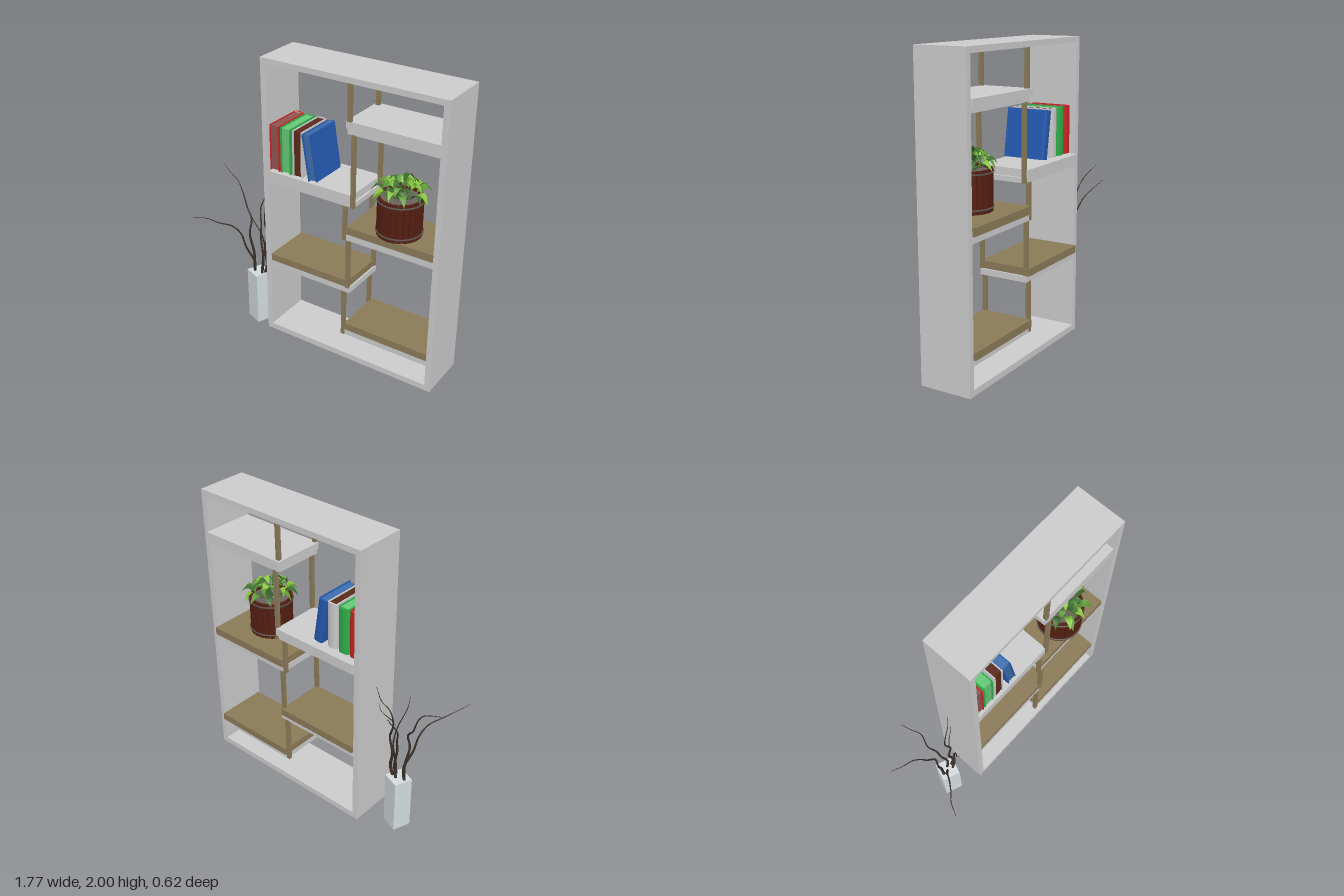
import * as THREE from 'three';

const mat = (color, extra = {}) => new THREE.MeshStandardMaterial({ color, ...extra });
const GREY = mat(0xcccccc), WOOD = mat(0x8a7a58), BARK = mat(0x3a3028), STAVE = mat(0x541f12);
const LEAF = [0x86c440, 0x5f9a35, 0x3f7030].map(c => mat(c, { side: THREE.DoubleSide }));

function add(parent, name, geometry, material, x = 0, y = 0, z = 0) {
  const mesh = new THREE.Mesh(geometry, material);
  mesh.name = name;
  mesh.position.set(x, y, z);
  parent.add(mesh);
  return mesh;
}

// Box given by its minimum and maximum on each axis
function slab(parent, name, material, x0, x1, y0, y1, z0, z1) {
  return add(parent, name, new THREE.BoxGeometry(x1 - x0, y1 - y0, z1 - z0), material,
    (x0 + x1) / 2, (y0 + y1) / 2, (z0 + z1) / 2);
}

function group(parent, name) {
  const g = new THREE.Group();
  g.name = name;
  parent.add(g);
  return g;
}

let seed = 7;
const rand = () => (seed = (seed * 16807) % 2147483647) / 2147483647;

function buildFrame(root) {
  const shape = new THREE.Shape([[-0.37, 0.055], [0.885, 0.055], [0.885, 2], [-0.37, 2]].map(p => new THREE.Vector2(...p)));
  shape.holes.push(new THREE.Path([[-0.333, 0.095], [-0.333, 1.964], [0.847, 1.964], [0.847, 0.095]].map(p => new THREE.Vector2(...p))));
  add(root, 'frame', new THREE.ExtrudeGeometry(shape, { depth: 0.34, bevelEnabled: false }), GREY, 0, 0, -0.25);
}

function buildShelves(root) {
  const shelves = group(root, 'shelves');
  // x range of top board, x range of base board, base bottom, seam, top, top material
  [
    [0.233, 0.847, 0.245, 0.847, 1.652, 1.685, 1.73, GREY],
    [-0.333, 0.28, -0.333, 0.295, 1.178, 1.21, 1.258, GREY],
    [0.245, 0.847, 0.24, 0.847, 0.943, 0.985, 1.035, WOOD],
    [-0.333, 0.265, -0.333, 0.277, 0.563, 0.602, 0.65, WOOD],
    [0.24, 0.847, 0.24, 0.847, 0.235, 0.272, 0.32, WOOD],
  ].forEach(([a0, a1, b0, b1, y0, y1, y2, m]) => {
    slab(shelves, 'shelfBoard', m, a0, a1, y1, y2, -0.265, 0.08);
    slab(shelves, 'shelfBase', GREY, b0, b1, y0, y1, -0.25, 0.08);
  });

  // Front and back posts between neighbouring shelves
  const posts = group(root, 'posts');
  [[0.257, 1.73, 1.964], [0.287, 1.178, 1.655], [0.233, 0.943, 1.178],
    [0.26, 0.6, 0.943], [0.233, 0.237, 0.565]].forEach(([x, y0, y1]) => {
    for (const z of [0.075, -0.24]) slab(posts, 'post', WOOD, x - 0.012, x + 0.012, y0, y1, z - 0.012, z + 0.012);
  });
}

function buildBooks(root) {
  const books = group(root, 'books');
  const h = 0.305, z0 = -0.2, z1 = 0.065;
  // base x, thickness, tilt, cover, pages
  [[-0.298, 0.066, 0, 0xcc2424, 0x8f5552], [-0.214, 0.068, 0, 0x2fae48, 0x66c878],
    [-0.127, 0.062, 0, 0xcccccc, 0x5a2a1a], [-0.012, 0.058, 0.16, 0x2459b0, 0x3c6cac]].forEach(([x, t, tilt, cover, page]) => {
    const book = group(books, 'book');
    const c = mat(cover), p = mat(page);
    for (const s of [-1, 1]) slab(book, 'cover', c, s * t / 2 - 0.004, s * t / 2 + 0.004, 0, h, z0, z1);
    // Rounded spine at the back
    const spine = add(book, 'spine', new THREE.CylinderGeometry(t / 2 + 0.004, t / 2 + 0.004, h, 12, 1, false, Math.PI / 2, Math.PI), c, 0, h / 2, z0);
    spine.scale.z = 0.4;
    slab(book, 'pageBlock', p, -t / 2 + 0.004, t / 2 - 0.004, 0.006, h - 0.006, z0, z1 - 0.012);
    // Loose signatures showing at the open edge
    for (let i = 0; i < 5; i++) {
      const px = (i - 2) * (t - 0.012) / 5;
      slab(book, 'pages', p, px - 0.003, px + 0.003, 0.006, h - 0.006, z1 - 0.014, z1 - 0.004);
    }
    book.position.set(x, 1.264, 0);
    book.rotation.z = tilt;
  });
}

// Leaf blade: a plane pinched to a point at both ends and drooping along its length
function leafGeometry(length, width) {
  const g = new THREE.PlaneGeometry(1, 1, 2, 6);
  const p = g.attributes.position;
  for (let i = 0; i < p.count; i++) {
    const t = p.getY(i) + 0.5, side = p.getX(i) * 2;
    const w = Math.sin(Math.PI * Math.pow(t, 0.8)) * width / 2;
    p.setXYZ(i, side * w, 0.05 * Math.sin(t * 2.6) - 0.035 * t * t + Math.abs(side) * w * 0.3, t * length);
  }
  g.computeVertexNormals();
  return g;
}

function buildPlant(root) {
  const plant = group(root, 'pottedPlant');
  plant.position.set(0.552, 1.035, -0.03);
  const N = 24, R = 0.13;
  // Ring of wooden staves held by two hoops
  add(plant, 'potCore', new THREE.CylinderGeometry(R - 0.004, R - 0.004, 0.21, N), STAVE, 0, 0.12, 0);
  for (let i = 0; i < N; i++) {
    const a = i / N * Math.PI * 2;
    const stave = add(plant, 'stave', new THREE.BoxGeometry(0.029, 0.25, 0.018), STAVE, Math.sin(a) * R, 0.135, Math.cos(a) * R);
    stave.rotation.y = a;
  }
  for (const y of [0.035, 0.24]) {
    const hoop = add(plant, 'hoop', new THREE.TorusGeometry(R + 0.011, 0.006, 6, 36), mat(0x5c5048), 0, y, 0);
    hoop.rotation.x = Math.PI / 2;
  }
  add(plant, 'soil', new THREE.CylinderGeometry(R - 0.006, R - 0.006, 0.02, N), mat(0x6a645c), 0, 0.235, 0);

  // Leaves in three rings on short stems
  [[14, 0.09, 0.09, 0.265], [11, 0.055, 0.075, 0.29], [8, 0.02, 0.07, 0.315]].forEach(([n, r, len, y], ring) => {
    for (let i = 0; i < n; i++) {
      const a = (i + rand() * 0.7) / n * Math.PI * 2;
      const x = Math.sin(a) * r, z = Math.cos(a) * r, top = y + rand() * 0.025;
      const stem = new THREE.QuadraticBezierCurve3(new THREE.Vector3(x * 0.4, 0.24, z * 0.4),
        new THREE.Vector3(x * 0.6, top, z * 0.6), new THREE.Vector3(x, top, z));
      add(plant, 'stem', new THREE.TubeGeometry(stem, 6, 0.0025, 5), LEAF[2]);
      const leaf = add(plant, 'leaf', leafGeometry(len * (0.8 + rand() * 0.4), 0.05), LEAF[(i + ring) % 3], x, top, z);
      leaf.rotation.set(-0.25 + rand() * 0.5, a + rand() * 0.6 - 0.3, rand() * 0.6 - 0.3, 'YXZ');
    }
  });
}

// Tube along points that thins from base to tip
function branch(parent, points, r) {
  const curve = new THREE.CatmullRomCurve3(points.map(p => new THREE.Vector3(...p)));
  const n = 36, sides = 6;
  const g = new THREE.TubeGeometry(curve, n, r, sides);
  const p = g.attributes.position, v = new THREE.Vector3();
  for (let i = 0; i < p.count; i++) {
    const t = Math.floor(i / (sides + 1)) / n;
    const c = curve.getPointAt(t);
    v.fromBufferAttribute(p, i).sub(c).multiplyScalar(1 - 0.88 * t).add(c);
    p.setXYZ(i, v.x, v.y, v.z);
  }
  add(parent, 'branch', g, BARK);
}

function buildVase(root) {
  const vase = group(root, 'vaseWithBranches');
  const body = add(vase, 'vase', new THREE.CylinderGeometry(0.0865, 0.0865, 0.38, 4, 1).toNonIndexed(),
    mat(0xd3dbde, { flatShading: true }), -0.54, 0.19, -0.045);
  body.rotation.y = 0.42;

  const limbs = group(vase, 'branches');
  branch(limbs, [[-0.58, 0.36, -0.04], [-0.585, 0.5, -0.05], [-0.61, 0.66, -0.04], [-0.605, 0.76, -0.06], [-0.655, 0.83, -0.08],
    [-0.69, 0.93, -0.085], [-0.74, 1.0, -0.1], [-0.81, 1.04, -0.11], [-0.885, 1.08, -0.13]], 0.011);
  branch(limbs, [[-0.57, 0.36, -0.03], [-0.56, 0.46, -0.02], [-0.595, 0.58, 0.02], [-0.615, 0.7, 0.05], [-0.645, 0.77, 0.1],
    [-0.7, 0.81, 0.17], [-0.75, 0.85, 0.22], [-0.8, 0.885, 0.31]], 0.01);
  branch(limbs, [[-0.53, 0.36, -0.06], [-0.515, 0.48, -0.06], [-0.545, 0.62, -0.08], [-0.555, 0.72, -0.1], [-0.585, 0.82, -0.14],
    [-0.57, 0.92, -0.2], [-0.6, 0.98, -0.25], [-0.63, 1.04, -0.31]], 0.01);
  branch(limbs, [[-0.5, 0.36, -0.05], [-0.475, 0.45, -0.05], [-0.495, 0.56, -0.06], [-0.47, 0.68, -0.06], [-0.5, 0.8, -0.07],
    [-0.475, 0.9, -0.08], [-0.43, 0.95, -0.1], [-0.4, 1.06, -0.12]], 0.011);
  branch(limbs, [[-0.51, 0.36, -0.03], [-0.49, 0.48, -0.02], [-0.475, 0.6, -0.03], [-0.48, 0.72, 0], [-0.5, 0.8, 0.03],
    [-0.515, 0.86, 0.05], [-0.51, 0.93, 0.08]], 0.009);
  branch(limbs, [[-0.475, 0.7, -0.06], [-0.485, 0.79, -0.05], [-0.46, 0.83, -0.07], [-0.42, 0.87, -0.09], [-0.405, 0.93, -0.1]], 0.006);
}

export function createModel() {
  const root = new THREE.Group();
  root.name = 'bookcaseSet';
  buildFrame(root);
  buildShelves(root);
  buildBooks(root);
  buildPlant(root);
  buildVase(root);
  return root;
}
